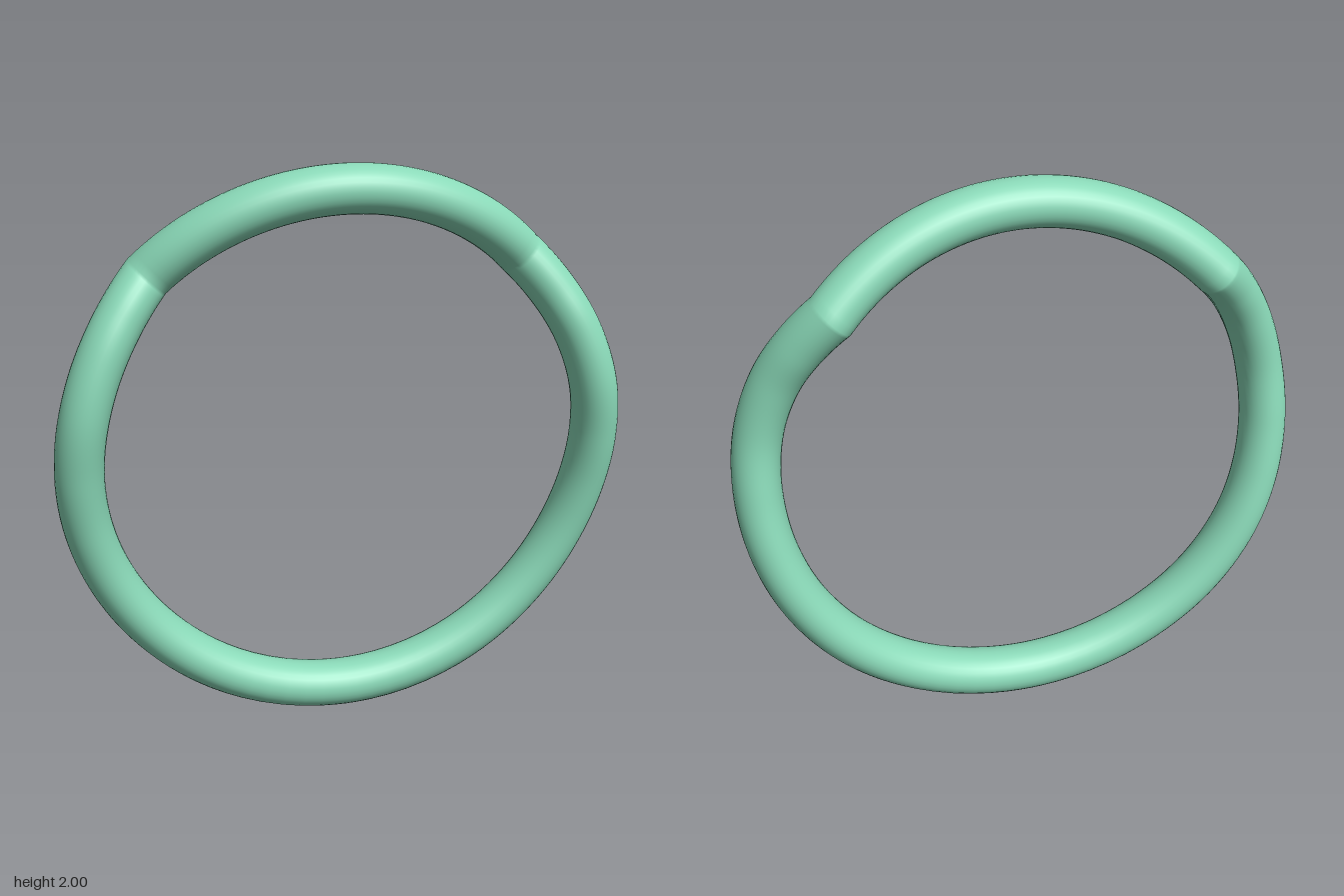
import * as THREE from 'three';

const RING = 0.917;      // centreline radius
const RADIAL = 0.083;    // half thickness in the ring plane
const AXIAL = 0.093;     // half thickness along z
const SIDES = 32;

// Crest over the top: an arc tilted forward; angles are degrees from the top
const crest = deg => 0.06 - 0.376 * (1 - Math.cos(THREE.MathUtils.degToRad(deg)));

// Wave running from a kink down one side to the bottom, as (angle, z) stations
function sideWave(kink) {
  const points = [[kink, crest(kink)], [54, 0.002], [64, 0.044], [77, 0.061], [90, 0.034],
    [103, -0.002], [116, -0.029], [132, -0.044], [150, -0.046], [180, -0.046]];
  return new THREE.SplineCurve(points.map(p => new THREE.Vector2(...p))).getPoints(72);
}

// Stations clockwise around the whole ring, with one exactly on each kink
function bandStations(leftKink, rightKink) {
  const stations = [];
  const steps = 48;
  for (let i = 1; i < steps; i++) {
    const deg = THREE.MathUtils.lerp(-rightKink, leftKink, i / steps);
    stations.push(new THREE.Vector2(deg, crest(deg)));
  }
  stations.push(...sideWave(leftKink));
  const other = sideWave(rightKink).map(p => new THREE.Vector2(360 - p.x, p.y));
  stations.push(...other.reverse().slice(1));
  return stations;
}

// Sweep an oval section through the stations, closing both ways
function bandGeometry(stations) {
  const positions = [], indices = [];
  const n = stations.length;
  const slope = (a, b) => {
    const step = (b.x - a.x + 720) % 360;
    return (b.y - a.y) / (THREE.MathUtils.degToRad(step) * RING);
  };
  stations.forEach((s, i) => {
    const before = slope(stations[(i + n - 1) % n], s);
    const after = slope(s, stations[(i + 1) % n]);
    // widen along z where the band slants, so its true thickness stays even
    const half = AXIAL * (Math.hypot(1, before) + Math.hypot(1, after)) / 2;
    const angle = THREE.MathUtils.degToRad(s.x);
    for (let j = 0; j < SIDES; j++) {
      const phi = j / SIDES * Math.PI * 2;
      const r = RING + RADIAL * Math.cos(phi);
      positions.push(r * Math.sin(angle), 1 + r * Math.cos(angle), s.y + half * Math.sin(phi));
      const k = (j + 1) % SIDES, here = i * SIDES, next = ((i + 1) % n) * SIDES;
      indices.push(here + j, here + k, next + j, here + k, next + k, next + j);
    }
  });
  const geometry = new THREE.BufferGeometry();
  geometry.setAttribute('position', new THREE.Float32BufferAttribute(positions, 3));
  geometry.setIndex(indices);
  geometry.computeVertexNormals();
  return geometry;
}

export function createModel() {
  const group = new THREE.Group();
  group.name = 'wavyRing';
  const band = new THREE.Mesh(
    bandGeometry(bandStations(44, 45.6)),
    new THREE.MeshStandardMaterial({ color: 0x8ad9b8 })
  );
  band.name = 'band';
  group.add(band);
  return group;
}
